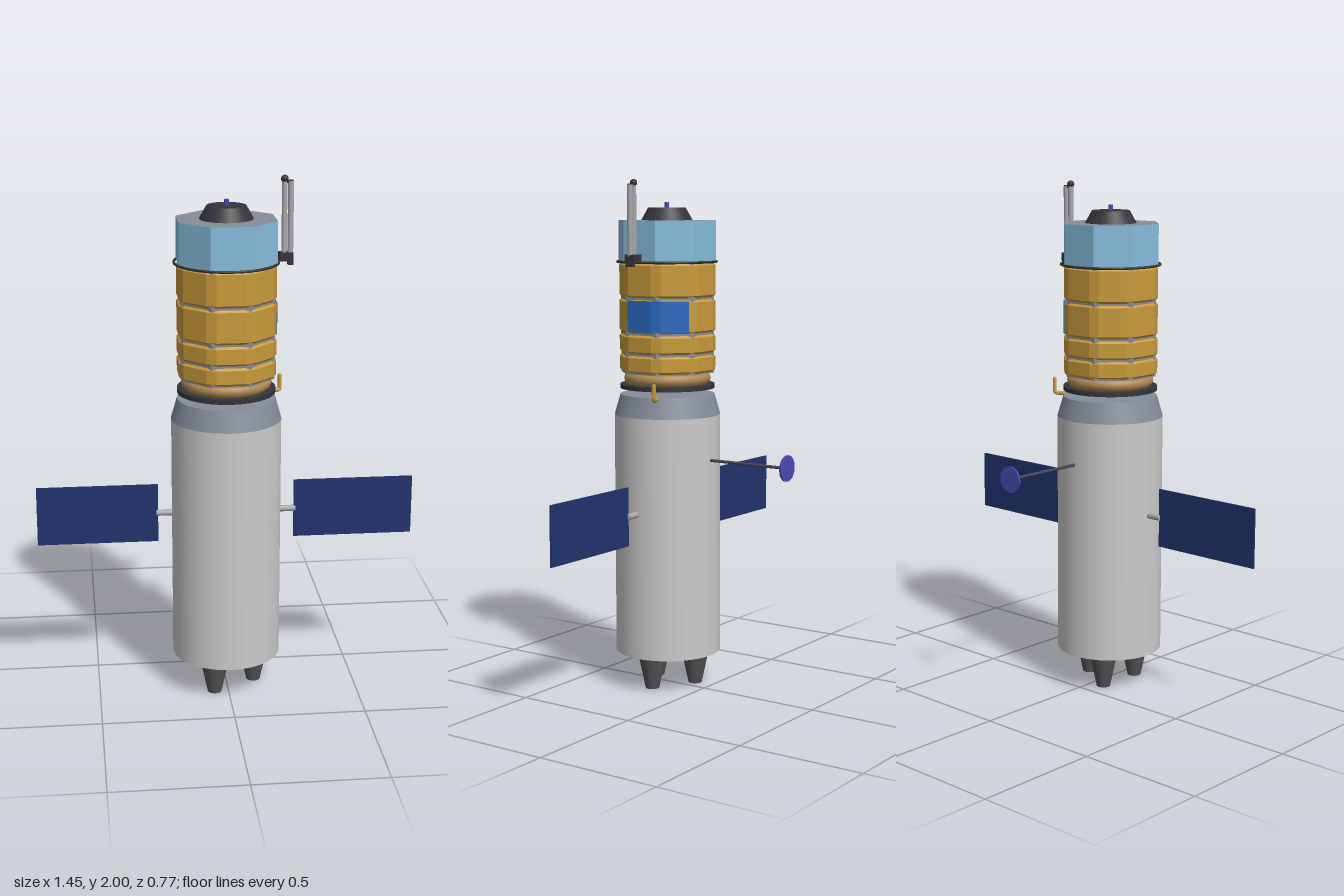
import * as THREE from 'three';

const AXIS_Z = 0.175; // the hull axis sits forward of centre

export function createModel() {
  const model = new THREE.Group();
  const hull = new THREE.Group();
  hull.name = 'hull';
  hull.position.z = AXIS_Z;
  model.add(hull);

  const mat = (color, flatShading = false) => new THREE.MeshStandardMaterial({ color, flatShading });
  const white = mat(0xcccccc), slate = mat(0x848d99), dark = mat(0x35353a), nozzleGrey = mat(0x555558);
  const base = mat(0x66686c), gold = mat(0xc99a3a, true), tan = mat(0xb08a55), navy = mat(0x22336e);
  const blue = mat(0x2868c0, true), sky = mat(0x86bddb, true), capGrey = mat(0x868d98, true);
  const violet = mat(0x4a4ab4), rodGrey = mat(0x4a4658), pipeGrey = mat(0xa8a8ac);

  const add = (name, geometry, material, x = 0, y = 0, z = 0) => {
    const mesh = new THREE.Mesh(geometry, material);
    mesh.name = name;
    mesh.position.set(x, y, z);
    hull.add(mesh);
    return mesh;
  };
  // Upright cylinder, cone or prism between two heights
  const drum = (name, rBottom, rTop, y0, y1, material, sides = 48, x = 0, z = 0) =>
    add(name, new THREE.CylinderGeometry(rTop, rBottom, y1 - y0, sides), material, x, (y0 + y1) / 2, z);
  const prism = (name, apothem, y0, y1, material) => {
    const r = apothem / Math.cos(Math.PI / 8);
    const mesh = drum(name, r, r, y0, y1, material, 8);
    mesh.rotation.y = Math.PI / 8;
    return mesh;
  };
  const ring = (name, radius, tube, y, material) => {
    const mesh = add(name, new THREE.TorusGeometry(radius, tube, 12, 48), material, 0, y, 0);
    mesh.rotation.x = Math.PI / 2;
    return mesh;
  };

  // Main propulsion body
  drum('mainBody', 0.208, 0.208, 0.14, 1.09, [white, white, base]);
  drum('shoulder', 0.208, 0.185, 1.09, 1.17, slate);
  for (let i = 0; i < 3; i++) {
    const a = i * Math.PI * 2 / 3;
    drum('engineNozzle', 0.027, 0.057, 0, 0.141, nozzleGrey, 24, 0.108 * Math.cos(a), 0.108 * Math.sin(a));
  }

  // Docking collar
  drum('collarRing', 0.185, 0.185, 1.193, 1.21, dark);
  ring('collarCushion', 0.145, 0.025, 1.232, tan);
  drum('collarCore', 0.145, 0.145, 1.205, 1.265, tan);

  // Instrument module: tiers of eight wide panels joined by narrow strips
  prism('moduleCore', 0.173, 1.255, 1.69, capGrey);
  const corner = (i, side, scale = 1) => {
    const a = i * Math.PI / 4, d = 0.181 * scale, h = 0.054 * side * scale;
    return new THREE.Vector2(d * Math.cos(a) - h * Math.sin(a), d * Math.sin(a) + h * Math.cos(a));
  };
  const outline = [];
  for (let i = 0; i < 8; i++) outline.push(corner(i, -1), corner(i, 1));
  const tier = (name, points, y0, y1, material, bevel) => {
    const geometry = new THREE.ExtrudeGeometry(new THREE.Shape(points), {
      depth: y1 - y0 - 2 * bevel, bevelEnabled: bevel > 0, bevelThickness: bevel,
      bevelSize: bevel, bevelOffset: -bevel, bevelSegments: 1,
    });
    geometry.rotateX(-Math.PI / 2);
    return add(name, geometry, material, 0, y0 + bevel, 0);
  };
  for (const [y0, y1] of [[1.26, 1.327], [1.335, 1.407], [1.415, 1.543], [1.551, 1.682]])
    tier('panelTier', outline, y0, y1, gold, 0.008);
  // Two blue panels on the side and rear-side faces
  const bluePoints = [new THREE.Vector2(0, 0),
    corner(0, -1, 1.012), corner(0, 1, 1.012), corner(1, -1, 1.012), corner(1, 1, 1.012)];
  tier('bluePanels', bluePoints, 1.42, 1.54, blue, 0);

  // Upper section and nose
  ring('handrail', 0.193, 0.005, 1.686, dark);
  prism('upperSection', 0.18, 1.688, 1.845, [sky, capGrey, capGrey]);
  drum('noseCap', 0.1, 0.073, 1.845, 1.893, dark);
  drum('noseSensor', 0.009, 0.009, 1.89, 1.915, violet, 12);

  // Folded mast on the left side
  add('mastClamp', new THREE.BoxGeometry(0.05, 0.032, 0.042), dark, 0.219, 1.701, 0);
  add('mastFoot', new THREE.BoxGeometry(0.02, 0.045, 0.03), dark, 0.236, 1.694, 0);
  drum('mastInner', 0.01, 0.01, 1.71, 1.988, pipeGrey, 16, 0.213);
  drum('mastOuter', 0.011, 0.011, 1.71, 1.978, pipeGrey, 16, 0.236);
  add('mastTip', new THREE.SphereGeometry(0.014, 16, 12), dark, 0.213, 1.986, 0);
  add('mastHinge', new THREE.BoxGeometry(0.035, 0.012, 0.012), dark, 0.226, 1.976, 0);

  // Small bent probe at the shoulder
  const bend = new THREE.CurvePath();
  const p = [[0.165, 1.165, -0.07], [0.205, 1.165, -0.088], [0.215, 1.168, -0.092], [0.215, 1.18, -0.092],
    [0.215, 1.222, -0.092]].map(v => new THREE.Vector3(...v));
  bend.add(new THREE.LineCurve3(p[0], p[1]));
  bend.add(new THREE.CubicBezierCurve3(p[1], p[2], p[2], p[3]));
  bend.add(new THREE.LineCurve3(p[3], p[4]));
  add('bentProbe', new THREE.TubeGeometry(bend, 24, 0.008, 10), gold);
  add('probeTip', new THREE.SphereGeometry(0.008, 10, 8), gold, 0.215, 1.222, -0.092);

  // Solar wings on short arms
  for (const side of [-1, 1]) {
    const arm = add('wingArm', new THREE.CylinderGeometry(0.012, 0.012, 0.075, 16), pipeGrey, side * 0.23, 0.715, 0);
    arm.rotation.z = Math.PI / 2;
    add('solarWing', new THREE.BoxGeometry(0.461, 0.23, 0.007), navy, side * 0.492, 0.715, 0);
  }

  // Rear dish antenna
  const boom = add('dishBoom', new THREE.CylinderGeometry(0.006, 0.006, 0.36, 12), rodGrey, 0, 0.92, -0.375);
  const dish = add('dish', new THREE.CylinderGeometry(0.05, 0.05, 0.007, 32), violet, 0, 0.92, -0.555);
  boom.rotation.x = dish.rotation.x = Math.PI / 2;

  return model;
}
